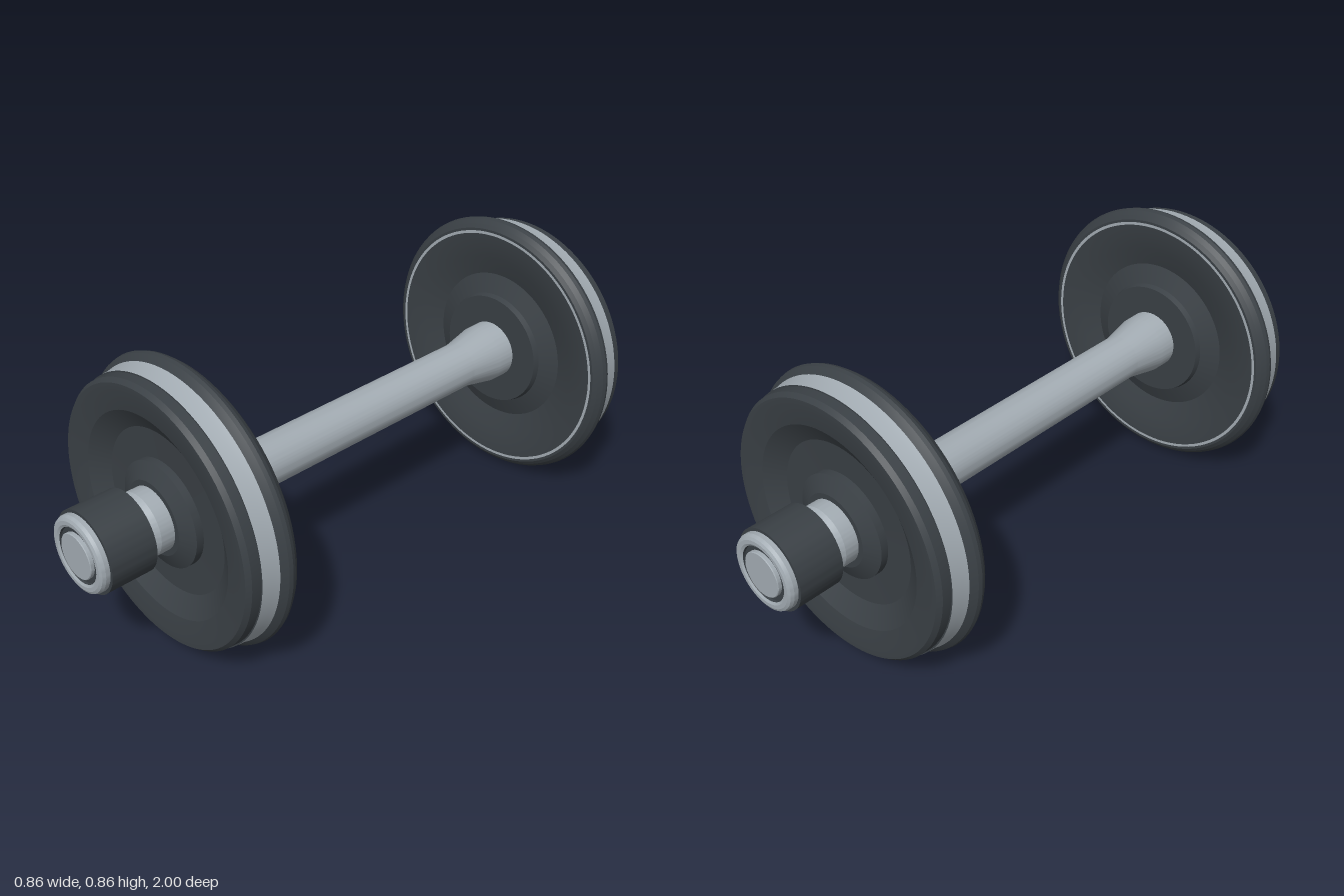
import * as THREE from 'three';
import { toCreasedNormals } from 'three/addons/utils/BufferGeometryUtils.js';

const steel = new THREE.MeshStandardMaterial({ color: 0xa3acb3 });
steel.name = 'polished steel';
const iron = new THREE.MeshStandardMaterial({ color: 0x3a4045 });
iron.name = 'dark iron';

const AXLE_HEIGHT = 0.43;

// Turned part: profile is [radius, z] pairs with z rising along the outside
function turned(name, material, profile) {
  const lathe = new THREE.LatheGeometry(profile.map(([r, z]) => new THREE.Vector2(r, z)), 96);
  lathe.rotateX(Math.PI / 2);
  const mesh = new THREE.Mesh(toCreasedNormals(lathe, 0.2), material);
  mesh.name = name;
  return mesh;
}

function makeWheel() {
  const wheel = new THREE.Group();
  wheel.name = 'wheel';
  wheel.add(
    // Inner side: hub boss, dished web and rim
    turned('innerWeb', iron, [
      [0.09, 0.6], [0.18, 0.6], [0.185, 0.618], [0.245, 0.64], [0.305, 0.622], [0.36, 0.611], [0.386, 0.609],
    ]),
    turned('innerRimRing', steel, [[0.386, 0.609], [0.395, 0.609]]),
    turned('flange', iron, [
      [0.395, 0.609], [0.403, 0.609], [0.415, 0.618], [0.426, 0.632], [0.43, 0.643],
      [0.427, 0.654], [0.418, 0.663], [0.41, 0.67],
    ]),
    turned('tread', steel, [[0.41, 0.67], [0.405, 0.69], [0.402, 0.722]]),
    // Outer side: rim, dished web and conical hub
    turned('outerWeb', iron, [
      [0.402, 0.722], [0.398, 0.722], [0.396, 0.75], [0.385, 0.763], [0.365, 0.763],
      [0.305, 0.752], [0.245, 0.715], [0.157, 0.712], [0.157, 0.735], [0.11, 0.757], [0.09, 0.757],
    ]),
  );
  return wheel;
}

function makeBearing() {
  const bearing = new THREE.Group();
  bearing.name = 'axleBearing';
  bearing.add(
    turned('bearingSleeve', iron, [[0.07, 0.833], [0.12, 0.833], [0.12, 0.972], [0.1, 0.972]]),
    // Rounded end cap with a recessed dark ring around the axle end
    turned('endCap', steel, [
      [0.111, 0.965], [0.111, 0.985], [0.107, 0.994], [0.099, 0.998], [0.088, 0.998], [0.081, 0.994],
    ]),
    turned('endGroove', iron, [[0.081, 0.994], [0.079, 0.988], [0.066, 0.988]]),
    turned('axleEnd', steel, [[0.066, 0.985], [0.066, 0.998], [0.064, 1], [0, 1]]),
  );
  return bearing;
}

export function createModel() {
  const model = new THREE.Group();
  model.name = 'wheelset';

  // Axle, thicker where the wheels sit
  const half = [[0.072, 0.44], [0.092, 0.545], [0.094, 0.8], [0.08, 0.838]];
  const mirrored = half.map(([r, z]) => [r, -z]).reverse();
  model.add(turned('axle', steel, [...mirrored, ...half]));

  // One wheel and bearing at each end
  for (const [name, angle] of [['front', 0], ['back', Math.PI]]) {
    const end = new THREE.Group();
    end.name = name + 'End';
    end.add(makeWheel(), makeBearing());
    end.rotation.y = angle;
    model.add(end);
  }

  model.position.y = AXLE_HEIGHT;
  const root = new THREE.Group();
  root.name = 'railWheelset';
  root.add(model);
  return root;
}
